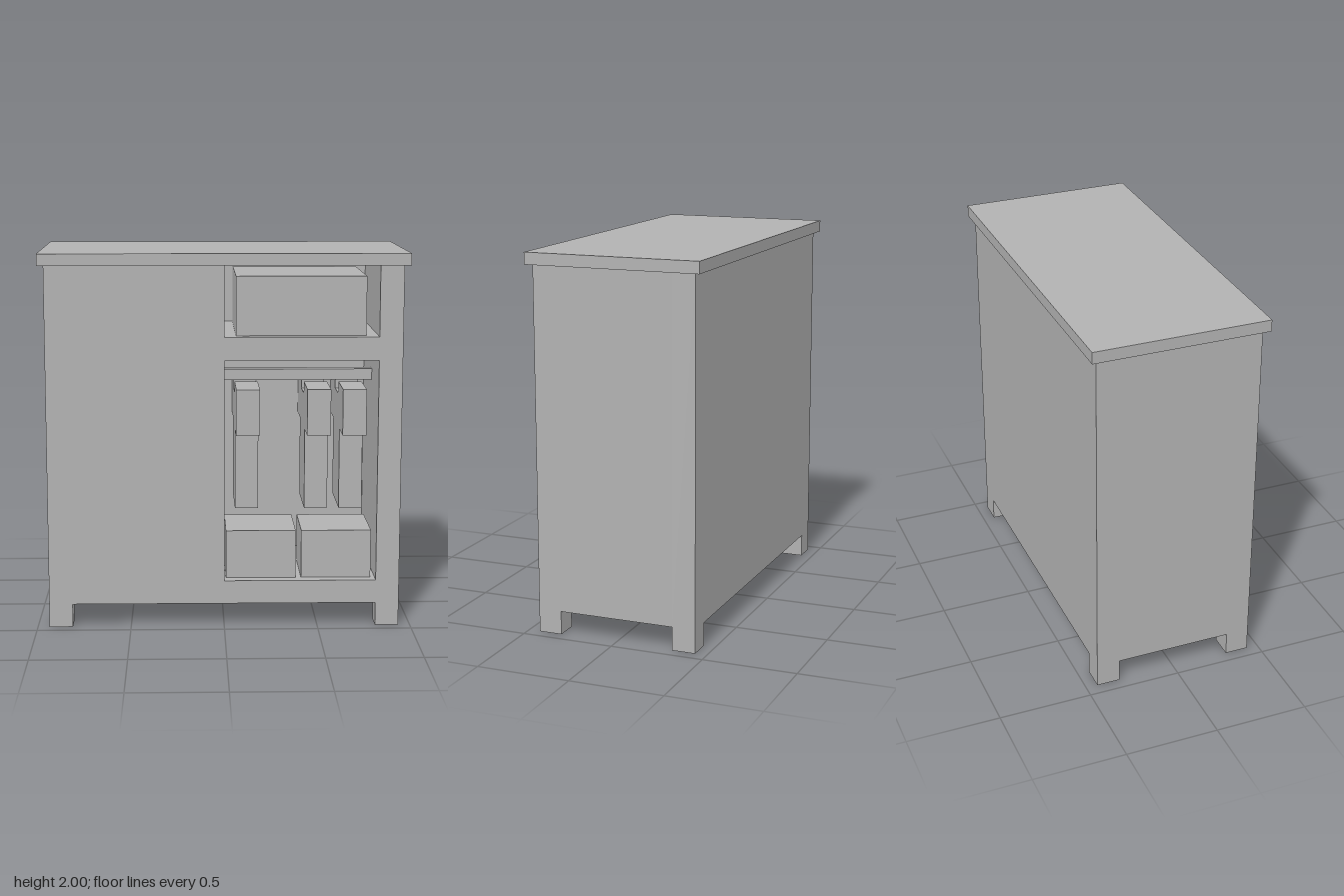
import * as THREE from 'three';

export function createModel() {
  const model = new THREE.Group();
  model.name = 'wardrobe';
  const grey = new THREE.MeshStandardMaterial({ color: 0xb2b2b2 });
  grey.name = 'plain grey';

  const add = (name, geometry, parent = model) => {
    const mesh = new THREE.Mesh(geometry, grey);
    mesh.name = name;
    parent.add(mesh);
    return mesh;
  };
  // Box given by its minimum and maximum on each axis
  const block = (name, [x0, x1], [y0, y1], [z0, z1]) => {
    const g = new THREE.BoxGeometry(x1 - x0, y1 - y0, z1 - z0);
    g.translate((x0 + x1) / 2, (y0 + y1) / 2, (z0 + z1) / 2);
    return add(name, g);
  };
  const outline = (points) => new THREE.Shape(points.map(([x, y]) => new THREE.Vector2(x, y)));

  const W = 0.9375, D = 0.4375, TOP = 1.9375, BASE = 0.125, BACK = -0.3125;

  // Carcass: the upper niche is open under the top, the lower one is a hole
  const carcass = outline([
    [-W, BASE], [W, BASE], [W, TOP], [0.8125, TOP],
    [0.8125, 1.5625], [0, 1.5625], [0, TOP], [-W, TOP],
  ]);
  carcass.holes.push(outline([[0, 0.25], [0, 1.4375], [0.8125, 1.4375], [0.8125, 0.25]]));
  const carcassGeometry = new THREE.ExtrudeGeometry(carcass, { depth: D - BACK, bevelEnabled: false });
  carcassGeometry.translate(0, 0, BACK);
  add('carcass', carcassGeometry);
  block('backPanel', [-W, W], [BASE, TOP], [-D, BACK]);
  block('topBoard', [-0.96875, 0.96875], [TOP, 2], [-0.46875, 0.46875]);

  // Four square feet
  for (const sx of [-1, 1]) {
    for (const sz of [-1, 1]) {
      const foot = add('foot', new THREE.BoxGeometry(0.125, BASE, 0.125));
      foot.position.set(sx * (W - 0.0625), BASE / 2, sz * (D - 0.0625));
    }
  }

  // Stored boxes
  block('upperBox', [0.0625, 0.75], [1.5625, 1.875], [-0.25, 0.375]);
  for (const x of [0.01, 0.415]) block('lowerBox', [x, x + 0.375], [0.25, 0.51], [0, 0.375]);

  // Hanging rail
  block('rail', [0, 0.8125], [1.285, 1.345], [0.031, 0.094]);

  // Hanging shirts: T-shaped outline in z and y, with a neck notch
  const shirt = outline([
    [-0.125, 0.605], [0.25, 0.605], [0.25, 1.04], [0.4375, 1.04], [0.4375, 1.285],
    [0.156, 1.285], [0.156, 1.22], [-0.031, 1.22], [-0.031, 1.285],
    [BACK, 1.285], [BACK, 1.04], [-0.125, 1.04],
  ]);
  const shirtGeometry = new THREE.ExtrudeGeometry(shirt, { depth: 0.125, bevelEnabled: false });
  shirtGeometry.rotateY(-Math.PI / 2);
  for (const x of [0.0625, 0.4375, 0.625]) {
    add('hangingShirt', shirtGeometry).position.x = x + 0.125;
  }
  return model;
}
